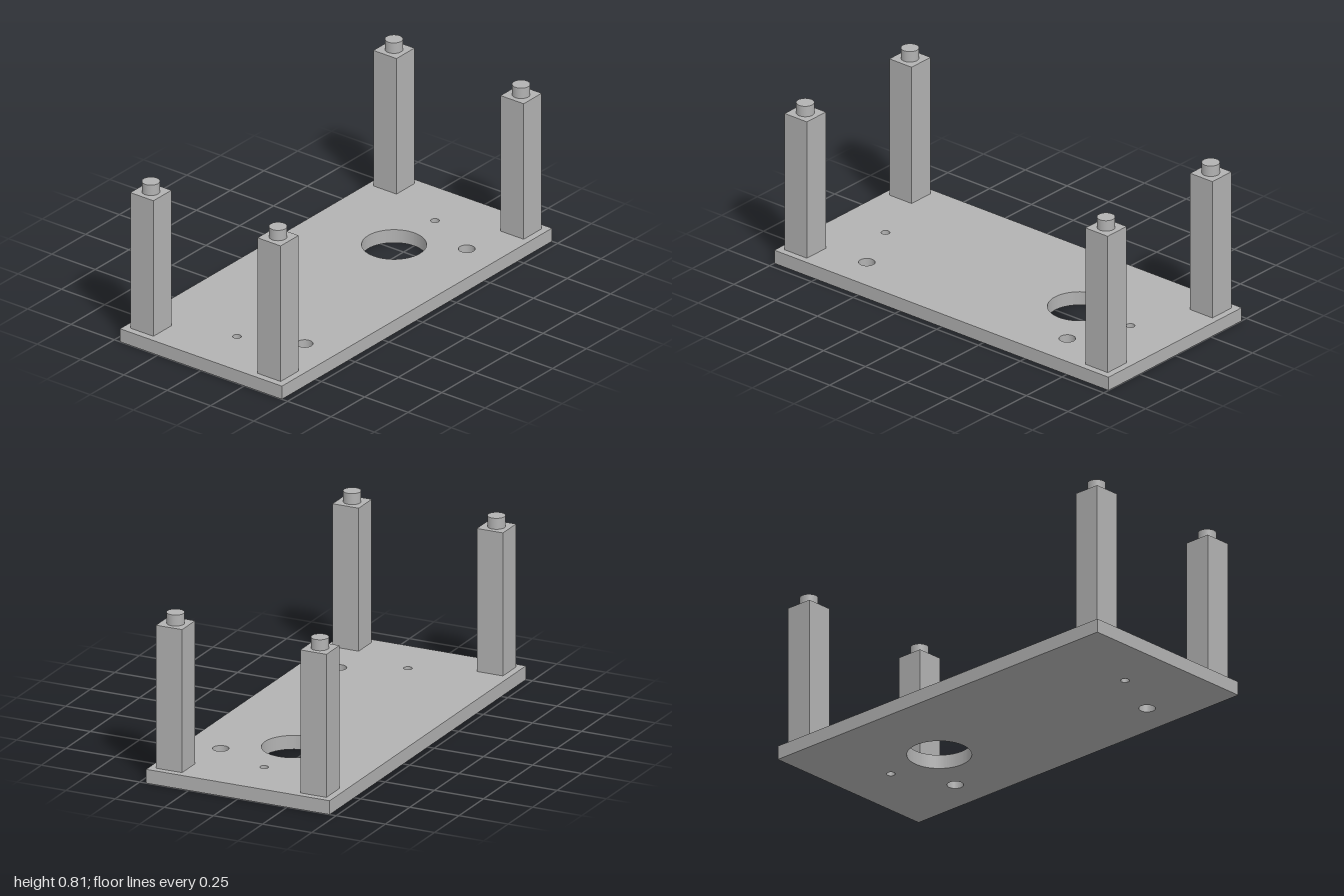
import * as THREE from 'three';

const BASE_H = 0.067, POST_TOP = 0.76, PEG_TOP = 0.813;

export function createModel() {
  const model = new THREE.Group();
  model.name = 'standoffPlate';
  const grey = new THREE.MeshStandardMaterial({ color: 0xb2b2b2 });
  grey.name = 'grey';

  const add = (parent, name, geometry, x, y, z) => {
    const mesh = new THREE.Mesh(geometry, grey);
    mesh.name = name;
    mesh.position.set(x, y, z);
    parent.add(mesh);
  };

  // Base plate with through holes, drawn flat with shape y = -z
  const plate = new THREE.Shape([
    new THREE.Vector2(-1, -0.467), new THREE.Vector2(1, -0.467),
    new THREE.Vector2(1, 0.467), new THREE.Vector2(-1, 0.467),
  ]);
  const holes = [
    [0.43, 0, 0.148], // large opening
    [-0.733, 0, 0.02], [0.733, 0, 0.02], // small screw holes
    [-0.6, 0.287, 0.038], [0.6, 0.287, 0.038], // front holes
  ];
  for (const [x, z, r] of holes) {
    plate.holes.push(new THREE.Path().absarc(x, -z, r, 0, Math.PI * 2, true));
  }
  const plateGeometry = new THREE.ExtrudeGeometry(plate, {
    depth: BASE_H, bevelEnabled: false, curveSegments: 48,
  });
  plateGeometry.rotateX(-Math.PI / 2);
  add(model, 'basePlate', plateGeometry, 0, 0, 0);

  // Four square corner posts, each topped by a round peg
  const postH = POST_TOP - BASE_H, pegH = PEG_TOP - POST_TOP;
  const postGeometry = new THREE.BoxGeometry(0.133, postH, 0.133);
  const pegGeometry = new THREE.CylinderGeometry(0.0415, 0.0415, pegH, 48);
  for (const sx of [-1, 1]) {
    for (const sz of [-1, 1]) {
      const corner = new THREE.Group();
      corner.name = (sz > 0 ? 'front' : 'back') + (sx > 0 ? 'Left' : 'Right') + 'Post';
      corner.position.set(sx * 0.9, 0, sz * 0.367);
      add(corner, 'post', postGeometry, 0, BASE_H + postH / 2, 0);
      add(corner, 'peg', pegGeometry, 0, POST_TOP + pegH / 2, 0);
      model.add(corner);
    }
  }
  return model;
}
